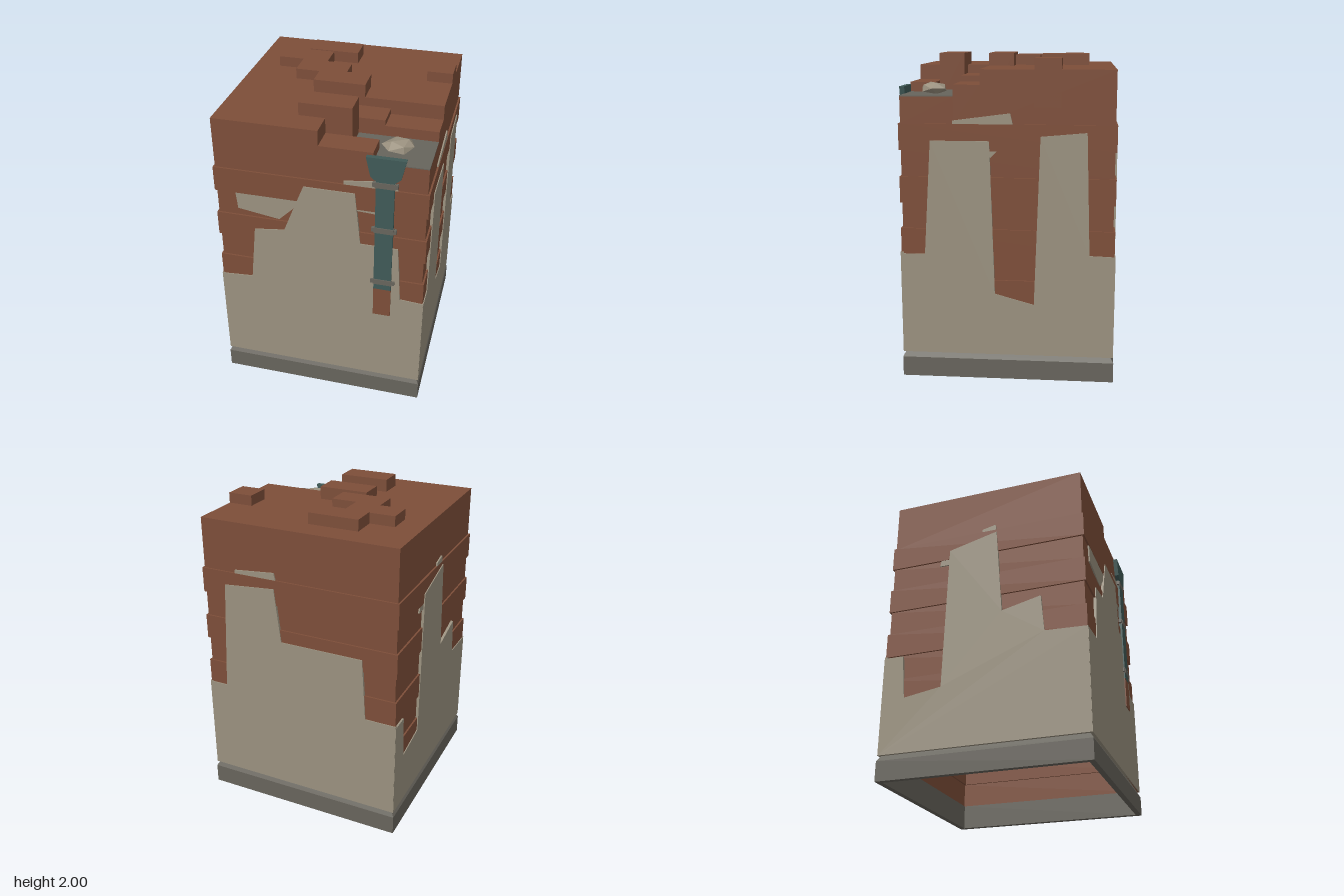
import * as THREE from 'three';

const mat = (name, color) => Object.assign(new THREE.MeshStandardMaterial({ color }), { name });

export function createModel() {
  const brick = mat('brick', 0x7d4e39);
  const plaster = mat('plaster', 0x9a917f);
  const stone = mat('stone', 0x67645c);
  const metal = mat('patinated metal', 0x405a57);

  const model = new THREE.Group();
  model.name = 'brickPillar';
  const body = new THREE.Group();
  body.name = 'pillarBody';
  body.position.z = -0.005;
  model.add(body);

  const add = (name, geo, material, parent = body) => {
    const mesh = new THREE.Mesh(geo, material);
    mesh.name = name;
    parent.add(mesh);
    return mesh;
  };
  // Box given by its limits
  const block = (name, material, x0, x1, y0, y1, z0, z1, parent = body) => {
    const geo = new THREE.BoxGeometry(x1 - x0, y1 - y0, z1 - z0);
    geo.translate((x0 + x1) / 2, (y0 + y1) / 2, (z0 + z1) / 2);
    return add(name, geo, material, parent);
  };
  // Hollow square ring from a closed profile of [half width, height]
  const squareRing = (name, material, profile) => {
    const pts = profile.map(([r, y]) => new THREE.Vector2(r * Math.SQRT2, y));
    const geo = new THREE.LatheGeometry(pts, 4).rotateY(Math.PI / 4).toNonIndexed();
    geo.computeVertexNormals();
    return add(name, geo, material);
  };
  const plate = (points, depth, z) => {
    const shape = new THREE.Shape(points.map(([x, y]) => new THREE.Vector2(x, y)));
    return new THREE.ExtrudeGeometry(shape, { depth, bevelEnabled: false }).translate(0, 0, z);
  };

  // Stone plinth with chamfered top, open below
  squareRing('plinth', stone, [[0.625, 0], [0.66, 0], [0.66, 0.125], [0.64, 0.16], [0.625, 0.16], [0.625, 0]]);

  // Brick courses, alternately proud and set back
  for (let i = 1; i < 10; i++) {
    const r = i % 2 ? 0.651 : 0.64, y = i * 0.16;
    squareRing('brickCourse', brick,
      [[r - 0.02, y], [r, y], [r, y + 0.16], [r - 0.02, y + 0.16], [r - 0.02, y]]);
  }

  // Solid head with a broken corner
  const E = 0.64;
  block('headLeftHalf', brick, -E, 0, 1.6, 1.92, -E, E);
  block('headBackHalf', brick, 0, E, 1.6, 1.92, -E, 0.16);
  block('brokenStepInner', brick, 0, 0.32, 1.6, 1.865, 0.16, 0.32);
  block('brokenStepOuter', brick, 0.32, E, 1.6, 1.83, 0.16, 0.32);
  block('brokenStepFront', brick, 0, 0.32, 1.6, 1.825, 0.48, E);
  block('brokenCorner', brick, 0.16, E, 1.6, 1.76, 0.32, E);
  block('mortarBedInner', stone, 0.16, E, 1.76, 1.766, 0.32, 0.48);
  block('mortarBedFront', stone, 0.32, E, 1.76, 1.766, 0.48, E);

  // Loose bricks standing above the head: x0, x1, z0, top
  [[-0.32, 0, -0.48, 1.99], [-0.48, -0.16, -0.32, 1.985], [-0.32, 0, -0.16, 1.985],
    [-0.16, 0.16, 0, 2], [-0.16, 0.16, 0.32, 2], [0.48, 0.64, -0.32, 1.985]]
    .forEach(([x0, x1, z0, top]) => block('raisedBrick', brick, x0, x1, 1.7, top, z0, z0 + 0.16));

  // Plaster on each side: main outline, then remnants on the set-back bricks
  const W = 0.655;
  const sides = [
    { name: 'frontPlaster', turn: 0,
      top: [[W, 0.81], [0.51, 0.82], [0.485, 1.2], [0.255, 1.2], [0.22, 1.55], [-0.09, 1.55],
        [-0.15, 1.4], [-0.22, 1.22], [-0.41, 1.195], [-0.45, 0.82], [-W, 0.805]],
      bits: [[[-0.52, 1.44], [-0.51, 1.33], [-0.25, 1.29], [-0.14, 1.4], [-0.12, 1.44]],
        [[0.22, 1.43], [0.36, 1.422], [0.36, 1.44], [0.22, 1.44]],
        [[0.15, 1.6], [0.47, 1.6], [0.45, 1.66], [0.15, 1.62]]] },
    { name: 'leftPlaster', turn: Math.PI / 2,
      top: [[W, 0.805], [0.5, 0.81], [0.475, 1.555], [0.2, 1.53], [0.165, 0.49], [-0.075, 0.555],
        [-0.105, 1.5], [-0.46, 1.5], [-0.505, 0.8], [-W, 0.8]],
      bits: [[[-0.325, 1.6], [0.035, 1.6], [0.02, 1.665], [-0.325, 1.62]],
        [[-0.11, 1.39], [-0.06, 1.44], [-0.11, 1.44]]] },
    { name: 'backPlaster', turn: Math.PI,
      top: [[W, 0.8], [0.455, 0.8], [0.43, 1.2], [-0.11, 1.2], [-0.15, 1.545], [-0.49, 1.515],
        [-0.53, 0.8], [-W, 0.8]],
      bits: [[[-0.42, 1.6], [-0.14, 1.6], [-0.15, 1.645], [-0.42, 1.62]]] },
    { name: 'rightPlaster', turn: -Math.PI / 2,
      top: [[W, 0.81], [0.39, 0.82], [0.37, 1.06], [0.12, 1], [0.08, 1.58], [-0.24, 1.5],
        [-0.265, 0.55], [-0.505, 0.51], [-0.53, 0.79], [-W, 0.79]],
      bits: [[[-0.02, 1.6], [0.075, 1.6], [0.07, 1.64], [-0.02, 1.62]],
        [[-0.31, 1.4], [-0.24, 1.4], [-0.24, 1.44], [-0.3, 1.44]]] },
  ];
  for (const { name, turn, top, bits } of sides) {
    const main = plate([[-W, 0.16], [W, 0.16], ...top], 0.02, 0.637);
    add(name, main.rotateY(turn), plaster);
    for (const bit of bits) {
      add(name + 'Remnant', plate(bit, 0.012, 0.637).rotateY(turn), plaster);
    }
  }

  // Flat downpipe with funnel head, straps and the bare strip beneath it
  const pipe = new THREE.Group();
  pipe.name = 'downpipe';
  model.add(pipe);
  block('pipeShaft', metal, 0.343, 0.452, 0.885, 1.67, 0.64, 0.66, pipe);
  block('bareStrip', brick, 0.343, 0.452, 0.68, 0.885, 0.64, 0.659, pipe);
  add('funnelHead', plate([[0.335, 1.665], [0.46, 1.665], [0.488, 1.69], [0.515, 1.81],
    [0.283, 1.81], [0.31, 1.69]], 0.031, 0.632), metal, pipe);
  for (const y of [1.635, 1.325, 0.943]) {
    block('strapEars', stone, 0.322, 0.472, y - 0.013, y + 0.013, 0.64, 0.662, pipe);
    block('strapBand', stone, 0.338, 0.457, y - 0.018, y + 0.018, 0.64, 0.665, pipe);
  }

  // Faceted rubble on the broken corner
  const rubble = new THREE.IcosahedronGeometry(1, 0);
  const p = rubble.attributes.position;
  for (let i = 0; i < p.count; i++) {
    const x = p.getX(i), y = p.getY(i), z = p.getZ(i);
    const k = 1 + 0.16 * Math.sin(3 * x + 5 * z + 2 * y);
    p.setXYZ(i, x * k * 0.1, y * 0.04, z * k * 0.085);
  }
  rubble.rotateY(0.5);
  rubble.computeVertexNormals();
  add('rubble', rubble, plaster, model).position.set(0.44, 1.797, 0.465);

  return model;
}
